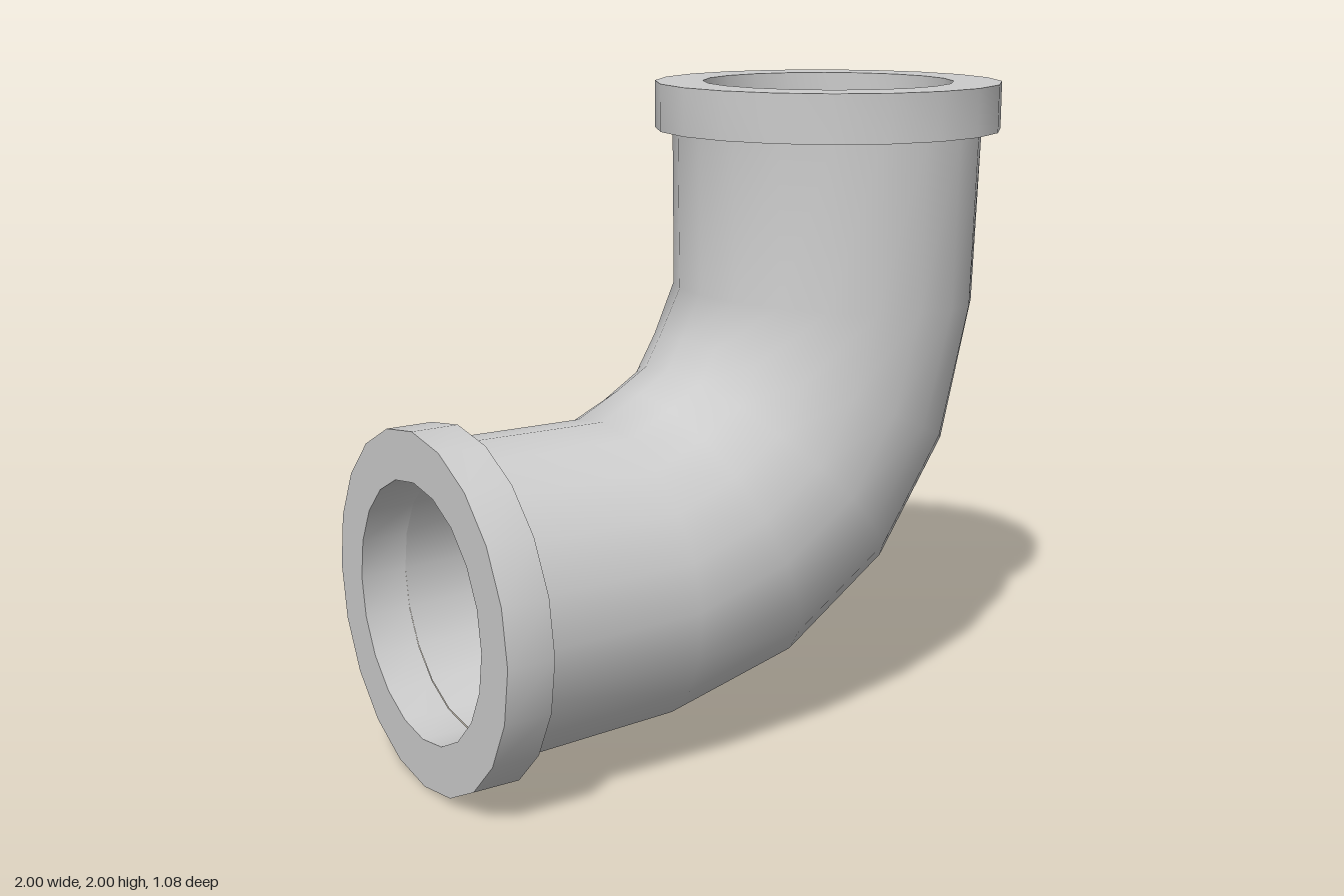
import * as THREE from 'three';
import { toCreasedNormals } from 'three/addons/utils/BufferGeometryUtils.js';

const SIDES = 20;
const PIPE_R = 0.485, BORE_R = 0.39, COLLAR_R = 0.54, COLLAR_LEN = 0.145;

// Cross-sections along the bend: [outer x, outer y, inner x, inner y]
const firstHalf = [
  [-0.855, 0.06, -0.855, 1.025],
  [-0.31, 0.085, -0.37, 1.02],
  [0.16, 0.2, -0.24, 1.09],
];
const middle = [0.54, 0.46, -0.14, 1.15];
// The second half mirrors the first across the diagonal of the elbow
const mirrored = firstHalf.map(([ox, oy, ix, iy]) => [1 - oy, 1 - ox, 1 - iy, 1 - ix]).reverse();
const sections = [...firstHalf, middle, ...mirrored];

// Skin the cross-sections; the bore is the same skin, narrower and facing inward
function bentTube(radius, inward) {
  const k = radius / PIPE_R;
  const pos = [], index = [];
  for (const [ox, oy, ix, iy] of sections) {
    const cx = (ox + ix) / 2, cy = (oy + iy) / 2;
    for (let j = 0; j < SIDES; j++) {
      const a = (j / SIDES) * Math.PI * 2;
      pos.push(
        cx + Math.cos(a) * k * (ox - cx),
        cy + Math.cos(a) * k * (oy - cy),
        Math.sin(a) * radius
      );
    }
  }
  for (let i = 0; i < sections.length - 1; i++) {
    for (let j = 0; j < SIDES; j++) {
      const a = i * SIDES + j, b = i * SIDES + (j + 1) % SIDES;
      const c = a + SIDES, d = b + SIDES;
      if (inward) index.push(a, b, c, b, d, c);
      else index.push(a, c, b, b, c, d);
    }
  }
  const g = new THREE.BufferGeometry();
  g.setAttribute('position', new THREE.Float32BufferAttribute(pos, 3));
  g.setIndex(index);
  g.computeVertexNormals();
  return g;
}

// Thick ring with a bore, standing on its own y = 0
function collarGeometry() {
  const profile = [
    [BORE_R, 0], [COLLAR_R, 0], [COLLAR_R, COLLAR_LEN], [BORE_R, COLLAR_LEN], [BORE_R, 0],
  ].map(([r, y]) => new THREE.Vector2(r, y));
  return toCreasedNormals(new THREE.LatheGeometry(profile, SIDES), 0.7);
}

export function createModel() {
  const model = new THREE.Group();
  model.name = 'pipeElbow';
  const material = new THREE.MeshStandardMaterial({ color: 0xcccccc });
  const add = (name, geometry) => {
    const mesh = new THREE.Mesh(geometry, material);
    mesh.name = name;
    model.add(mesh);
    return mesh;
  };

  // Bent pipe wall
  add('pipeOuterWall', bentTube(PIPE_R, false));
  add('pipeBore', bentTube(BORE_R, true));

  // Collars at the two openings
  const collar = collarGeometry();
  add('topCollar', collar).position.set(0.46, 2 - COLLAR_LEN, 0);
  const side = add('sideCollar', collar);
  side.position.set(-1 + COLLAR_LEN, 0.54, 0);
  side.rotation.z = Math.PI / 2;

  return model;
}
